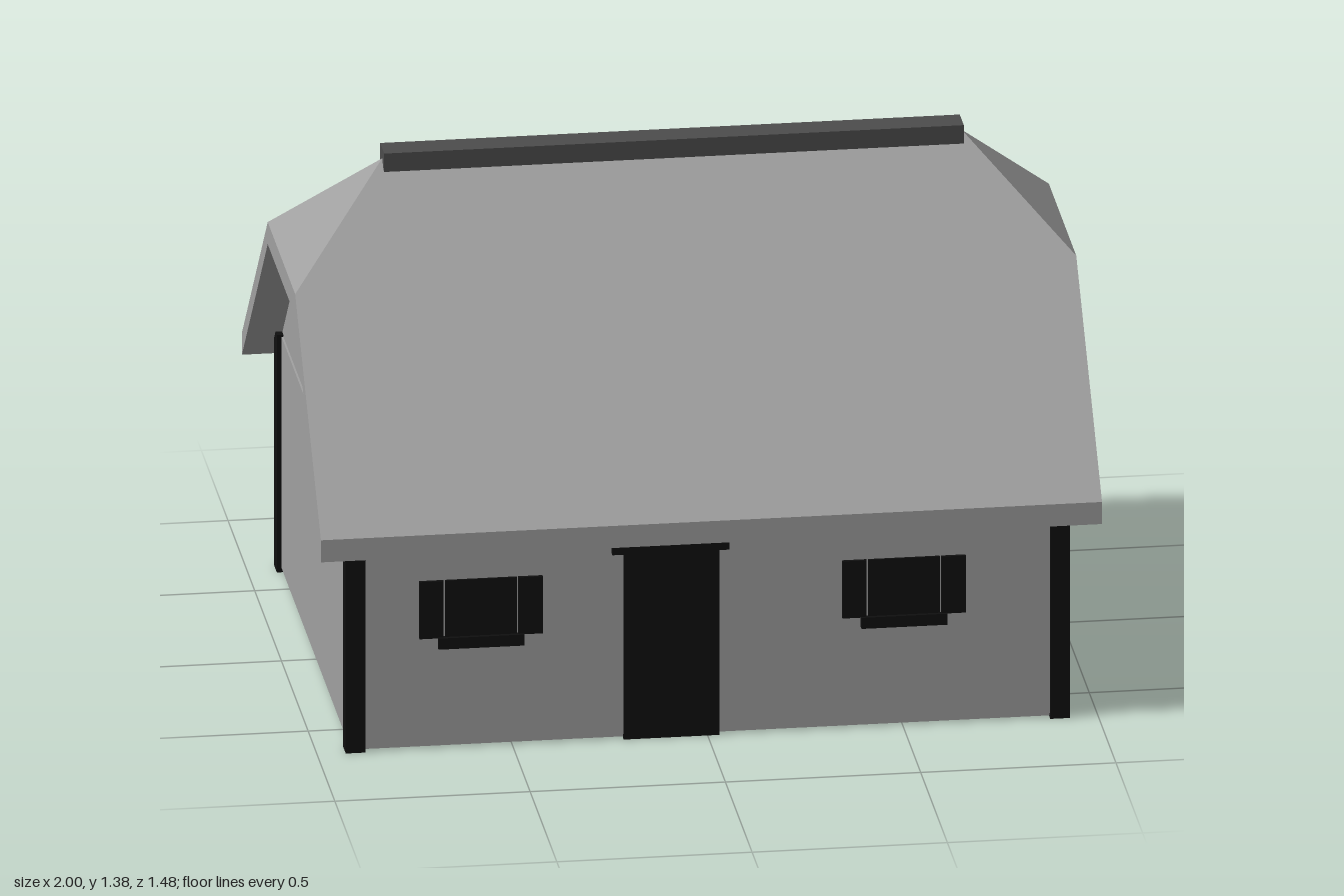
import * as THREE from 'three';

export function createModel() {
  const house = new THREE.Group();
  house.name = 'house';
  const material = (name, color) => {
    const m = new THREE.MeshStandardMaterial({ color });
    m.name = name;
    return m;
  };
  const grey = material('lightGrey', 0xa0a0a0);
  const darkGrey = material('darkGrey', 0x4c4c4c);
  const black = material('black', 0x0f0f0f);

  const add = (name, geometry, mat, parent = house) => {
    const mesh = new THREE.Mesh(geometry, mat);
    mesh.name = name;
    parent.add(mesh);
    return mesh;
  };
  // Box given by its lower and upper corners
  const box = (name, mat, x0, x1, y0, y1, z0, z1, parent) =>
    add(name, new THREE.BoxGeometry(x1 - x0, y1 - y0, z1 - z0), mat, parent)
      .position.set((x0 + x1) / 2, (y0 + y1) / 2, (z0 + z1) / 2);

  // Floor and walls
  box('floor', grey, -0.91, 0.91, 0.004, 0.015, -0.655, 0.655);
  box('walls', grey, -0.915, 0.915, 0.012, 0.64, -0.66, 0.66);

  // Clipped gables closing the ends up to the roof
  const gable = new THREE.Shape([
    [-0.65, 0.635], [0.65, 0.635], [0.16, 1.13], [-0.16, 1.13],
  ].map(([z, y]) => new THREE.Vector2(z, y)));
  for (const s of [-1, 1]) {
    const g = new THREE.ExtrudeGeometry(gable, { depth: 0.03, bevelEnabled: false });
    g.translate(0, 0, -0.015).rotateY(Math.PI / 2);
    add('gable', g, grey).position.x = s * 0.895;
  }

  // Corner posts
  for (const sx of [-1, 1]) for (const sz of [-1, 1]) {
    const post = add('cornerPost', new THREE.BoxGeometry(0.05, 0.645, 0.05), black);
    post.position.set(sx * 0.902, 0.3225, sz * 0.645);
  }

  // Half-hipped roof: an upper skin, the same skin lowered, and a fascia between
  const T = 0.06;
  const pts = [
    [-1, 0.61, 0.74], [1, 0.61, 0.74], [1, 1.095, 0.257], [1, 1.095, -0.257],
    [1, 0.61, -0.74], [-1, 0.61, -0.74], [-1, 1.095, -0.257], [-1, 1.095, 0.257],
    [0.742, 1.353, 0], [-0.742, 1.353, 0],
  ];
  const faces = [[0, 1, 2, 8, 9, 7], [4, 5, 6, 9, 8, 3], [2, 3, 8], [6, 7, 9]];
  const rim = 8;
  const pos = [];
  const low = ([x, y, z]) => [x, y - T, z];
  const polygon = (corners) => {
    for (let i = 1; i < corners.length - 1; i++) {
      pos.push(...corners[0], ...corners[i], ...corners[i + 1]);
    }
  };
  for (const f of faces) {
    const top = f.map((i) => pts[i]);
    polygon(top);
    polygon(top.map(low).reverse());
  }
  for (let i = 0; i < rim; i++) {
    const a = pts[i], b = pts[(i + 1) % rim];
    polygon([low(a), low(b), b, a]);
  }
  const roof = new THREE.BufferGeometry();
  roof.setAttribute('position', new THREE.Float32BufferAttribute(pos, 3));
  roof.computeVertexNormals();
  add('roof', roof, grey);
  box('ridgeCap', darkGrey, -0.742, 0.742, 1.33, 1.38, -0.038, 0.038);

  // Door with its lintel
  box('door', black, -0.215, 0.03, 0, 0.51, 0.655, 0.668);
  box('doorLintel', black, -0.245, 0.055, 0.505, 0.535, 0.655, 0.675);

  // Shuttered windows: pane, two shutters and a sill
  const shutteredWindow = (x, back) => {
    const w = new THREE.Group();
    w.name = 'shutteredWindow';
    box('pane', black, -0.092, 0.092, 0.3, 0.455, 0.655, 0.666, w);
    for (const s of [-1, 1]) {
      box('shutter', black, s * 0.127 - 0.031, s * 0.127 + 0.031, 0.3, 0.455, 0.655, 0.669, w);
    }
    box('windowSill', black, -0.11, 0.11, 0.272, 0.302, 0.655, 0.676, w);
    w.position.x = x;
    if (back) w.rotation.y = Math.PI;
    house.add(w);
  };
  shutteredWindow(-0.58, false);
  shutteredWindow(0.503, false);
  shutteredWindow(0, true);

  // Small window in one end wall
  box('endWindow', black, 0.91, 0.922, 0.3, 0.455, -0.09, 0.09);

  return house;
}
